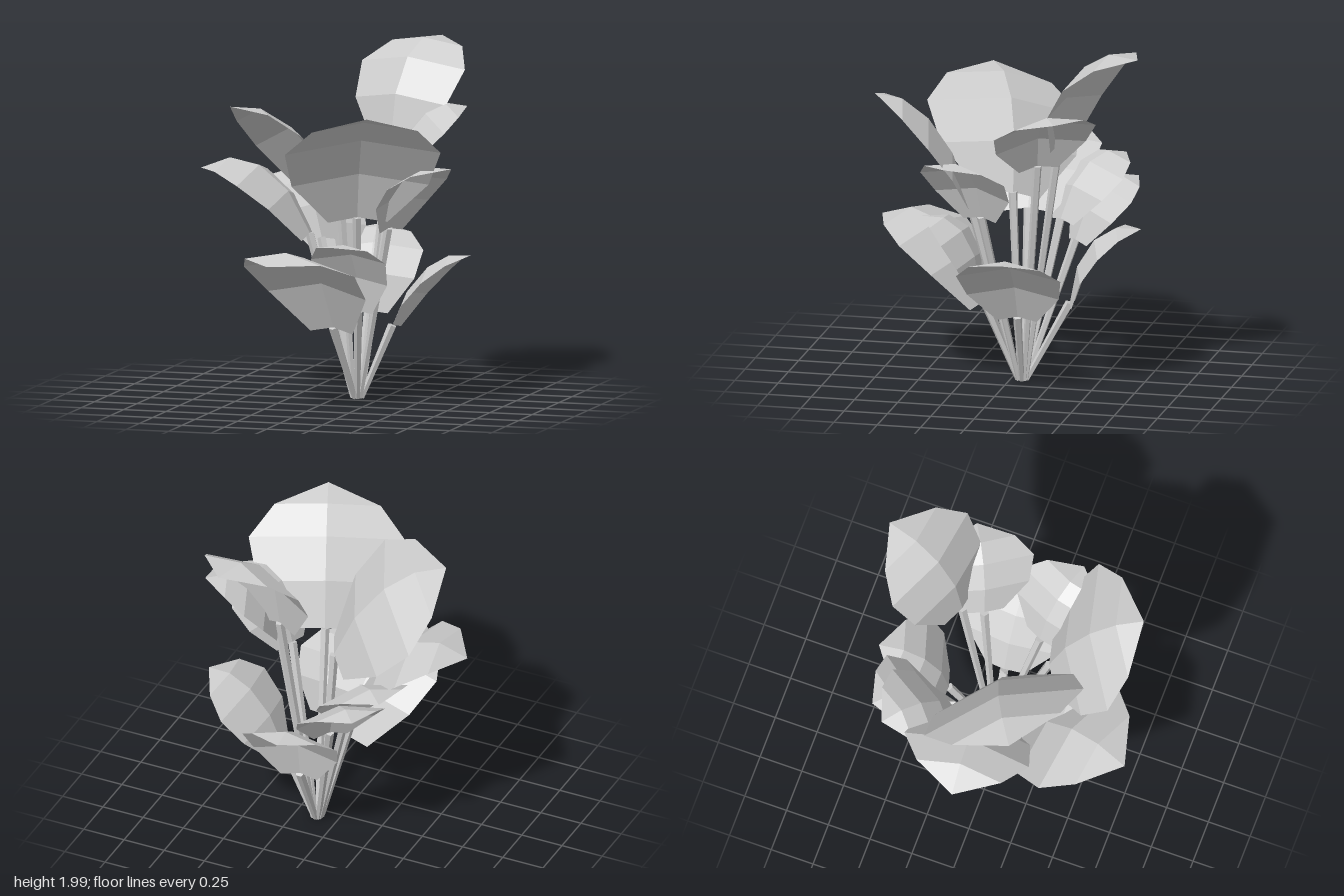
import * as THREE from 'three';

// Each leaf: blade base, blade tip, full width, strength of the arch, roll about its axis
const LEAVES = [
  { base: [0.21, 1.07, 0.22], tip: [0.42, 1.70, 0.71], width: 0.88, arch: 0.6, roll: 0 },
  { base: [0.05, 1.07, 0.00], tip: [-0.53, 1.67, 0.25], width: 0.94, arch: 0.68, roll: 0.26 },
  { base: [0.24, 1.42, -0.31], tip: [0.39, 1.975, -0.80], width: 0.70, arch: 1, roll: 0 },
  { base: [0.30, 1.30, -0.20], tip: [0.67, 1.64, -0.38], width: 0.60, arch: 0.9, roll: 0.1 },
  { base: [0.36, 1.00, 0.11], tip: [0.73, 1.36, 0.24], width: 0.56, arch: 0.9, roll: 0 },
  { base: [0.05, 0.43, 0.16], tip: [-0.14, 0.85, 0.80], width: 0.75, arch: 1, roll: 0 },
  { base: [0.32, 0.42, -0.09], tip: [0.78, 0.835, -0.10], width: 0.60, arch: 0.7, roll: 0 },
  { base: [0.10, 0.46, -0.34], tip: [0.05, 0.90, -0.74], width: 0.56, arch: 0.95, roll: 0 },
  { base: [0.20, 0.53, 0.16], tip: [0.16, 0.93, 0.50], width: 0.46, arch: 1, roll: 0 },
  { base: [-0.15, 0.93, -0.04], tip: [-0.78, 1.28, 0.00], width: 0.73, arch: 1, roll: 0 },
  { base: [-0.14, 0.88, -0.23], tip: [-0.48, 1.20, -0.53], width: 0.54, arch: 0.9, roll: 0 },
  { base: [-0.08, 0.78, -0.33], tip: [-0.36, 1.10, -0.63], width: 0.52, arch: 0.9, roll: 0 },
];

// Position along the blade, share of the full width, rise above the chord per length
const STATIONS = [
  [0, 0.38, 0], [0.31, 0.88, 0.2], [0.61, 1, 0.26], [0.84, 0.68, 0.19], [1, 0, 0],
];
const DROP = 0.23; // how far the edges hang below the midrib, per half width
const UP = new THREE.Vector3(0, 1, 0);

// Faceted blade with a raised midrib, curving over to a pointed tip
function bladeGeometry(base, tip, width, arch, roll) {
  const axis = tip.clone().sub(base);
  const length = axis.length();
  axis.normalize();
  const side = new THREE.Vector3().crossVectors(UP, axis).normalize();
  const normal = new THREE.Vector3().crossVectors(axis, side);
  side.applyAxisAngle(axis, -roll);
  normal.applyAxisAngle(axis, -roll);
  // Positive roll lifts the side edge
  if (side.y * roll < 0) {
    side.applyAxisAngle(axis, 2 * roll);
    normal.applyAxisAngle(axis, 2 * roll);
  }
  const positions = [], index = [];
  STATIONS.forEach(([t, share, rise], row) => {
    const half = (width * share) / 2;
    const centre = base.clone().lerp(tip, t).addScaledVector(normal, rise * arch * length);
    for (const s of [-1, 0, 1]) {
      const p = centre.clone().addScaledVector(side, s * half);
      p.addScaledVector(normal, -Math.abs(s) * DROP * half);
      positions.push(p.x, p.y, p.z);
    }
    if (row === 0) return;
    for (let i = 0; i < 2; i++) {
      const a = (row - 1) * 3 + i, b = row * 3 + i;
      index.push(a, b, a + 1);
      if (share > 0) index.push(a + 1, b, b + 1);
    }
  });
  const geometry = new THREE.BufferGeometry();
  geometry.setAttribute('position', new THREE.Float32BufferAttribute(positions, 3));
  geometry.setIndex(index);
  const flat = geometry.toNonIndexed();
  flat.computeVertexNormals();
  return flat;
}

// Straight stem, narrower at the ground
function stemMesh(from, to, material) {
  const direction = to.clone().sub(from);
  const mesh = new THREE.Mesh(
    new THREE.CylinderGeometry(0.026, 0.016, direction.length(), 5), material);
  mesh.position.copy(from).add(to).multiplyScalar(0.5);
  mesh.quaternion.setFromUnitVectors(UP, direction.normalize());
  return mesh;
}

export function createModel() {
  const plant = new THREE.Group();
  plant.name = 'leafyPlant';
  const grey = new THREE.MeshStandardMaterial({ color: 0xcccccc });
  grey.name = 'lightGrey';
  grey.flatShading = true;
  grey.side = THREE.DoubleSide;

  const root = new THREE.Vector3(0.12, 0.005, -0.07);
  for (const { base, tip, width, arch, roll } of LEAVES) {
    const start = new THREE.Vector3(...base);
    const end = new THREE.Vector3(...tip);

    const leaf = new THREE.Group();
    leaf.name = 'leaf';
    const blade = new THREE.Mesh(bladeGeometry(start, end, width, arch, roll), grey);
    blade.name = 'blade';

    // Stems fan out from a small ring at the ground
    const outward = start.clone().sub(root).setY(0).setLength(0.025);
    const stem = stemMesh(root.clone().add(outward), start, grey);
    stem.name = 'stem';

    leaf.add(blade, stem);
    plant.add(leaf);
  }
  return plant;
}
